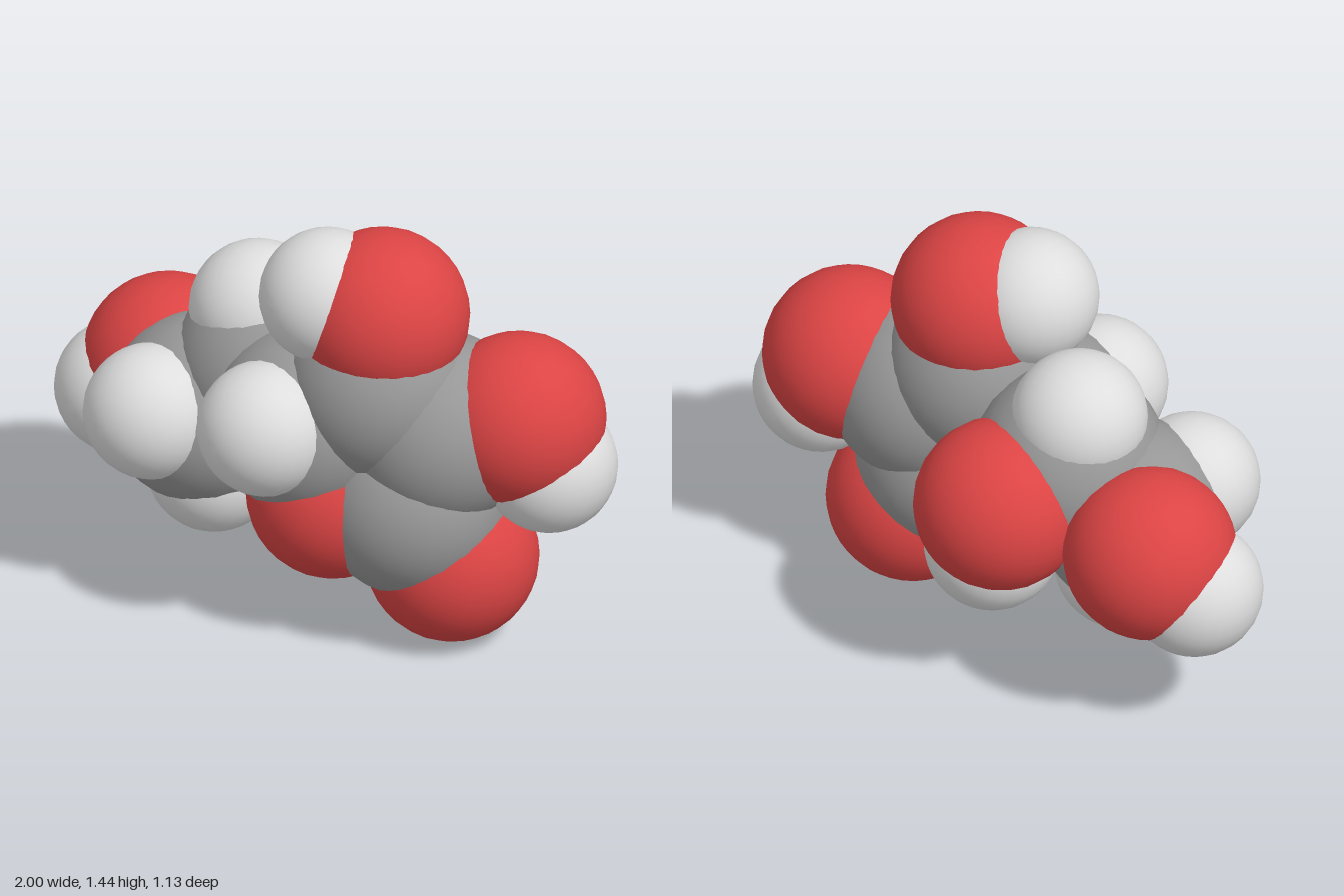
import * as THREE from 'three';

// One entry per element: flat colour and sphere radius
const ELEMENTS = {
  carbon: { radius: 0.319, color: 0x979797 },
  oxygen: { radius: 0.286, color: 0xdc4444 },
  hydrogen: { radius: 0.225, color: 0xdedede },
};

// Atom centres: [name, element, x, y, z]
const ATOMS = [
  // five-membered ring
  ['ringOxygen', 'oxygen', 0.12, 0.49, 0.115],
  ['carbonylCarbon', 'carbon', 0.365, 0.495, 0.025],
  ['lowerRingCarbon', 'carbon', 0.44, 0.755, -0.03],
  ['upperRingCarbon', 'carbon', 0.255, 0.905, 0.043],
  ['chainRingCarbon', 'carbon', 0.03, 0.745, 0.13],
  ['ringHydrogen', 'hydrogen', 0.0, 0.795, 0.337],
  // groups on the ring
  ['carbonylOxygen', 'oxygen', 0.48, 0.29, -0.04],
  ['sideHydroxylOxygen', 'oxygen', 0.68, 0.815, -0.133],
  ['sideHydroxylHydrogen', 'hydrogen', 0.775, 0.655, -0.167],
  ['topHydroxylOxygen', 'oxygen', 0.263, 1.16, 0.04],
  ['topHydroxylHydrogen', 'hydrogen', 0.1, 1.217, 0.118],
  // side chain
  ['innerChainCarbon', 'carbon', -0.215, 0.795, -0.025],
  ['innerChainHydrogen', 'hydrogen', -0.265, 0.995, -0.03],
  ['backHydroxylOxygen', 'oxygen', -0.155, 0.72, -0.283],
  ['backHydroxylHydrogen', 'hydrogen', -0.115, 0.54, -0.28],
  ['outerChainCarbon', 'carbon', -0.415, 0.625, 0.07],
  ['frontChainHydrogen', 'hydrogen', -0.48, 0.685, 0.275],
  ['lowerChainHydrogen', 'hydrogen', -0.375, 0.42, 0.06],
  ['endHydroxylOxygen', 'oxygen', -0.64, 0.665, -0.082],
  ['endHydroxylHydrogen', 'hydrogen', -0.775, 0.555, -0.013],
];

export function createModel() {
  const model = new THREE.Group();
  model.name = 'spaceFillingMolecule';

  // Shared sphere and material per element, poles along z
  const parts = {};
  for (const [name, { radius, color }] of Object.entries(ELEMENTS)) {
    const material = new THREE.MeshStandardMaterial({ color });
    material.name = name;
    const geometry = new THREE.SphereGeometry(radius, 28, 16).rotateX(Math.PI / 2);
    parts[name] = { geometry, material };
  }

  // Overlapping atoms
  for (const [name, element, x, y, z] of ATOMS) {
    const atom = new THREE.Mesh(parts[element].geometry, parts[element].material);
    atom.name = name;
    atom.position.set(x, y, z);
    model.add(atom);
  }
  return model;
}
